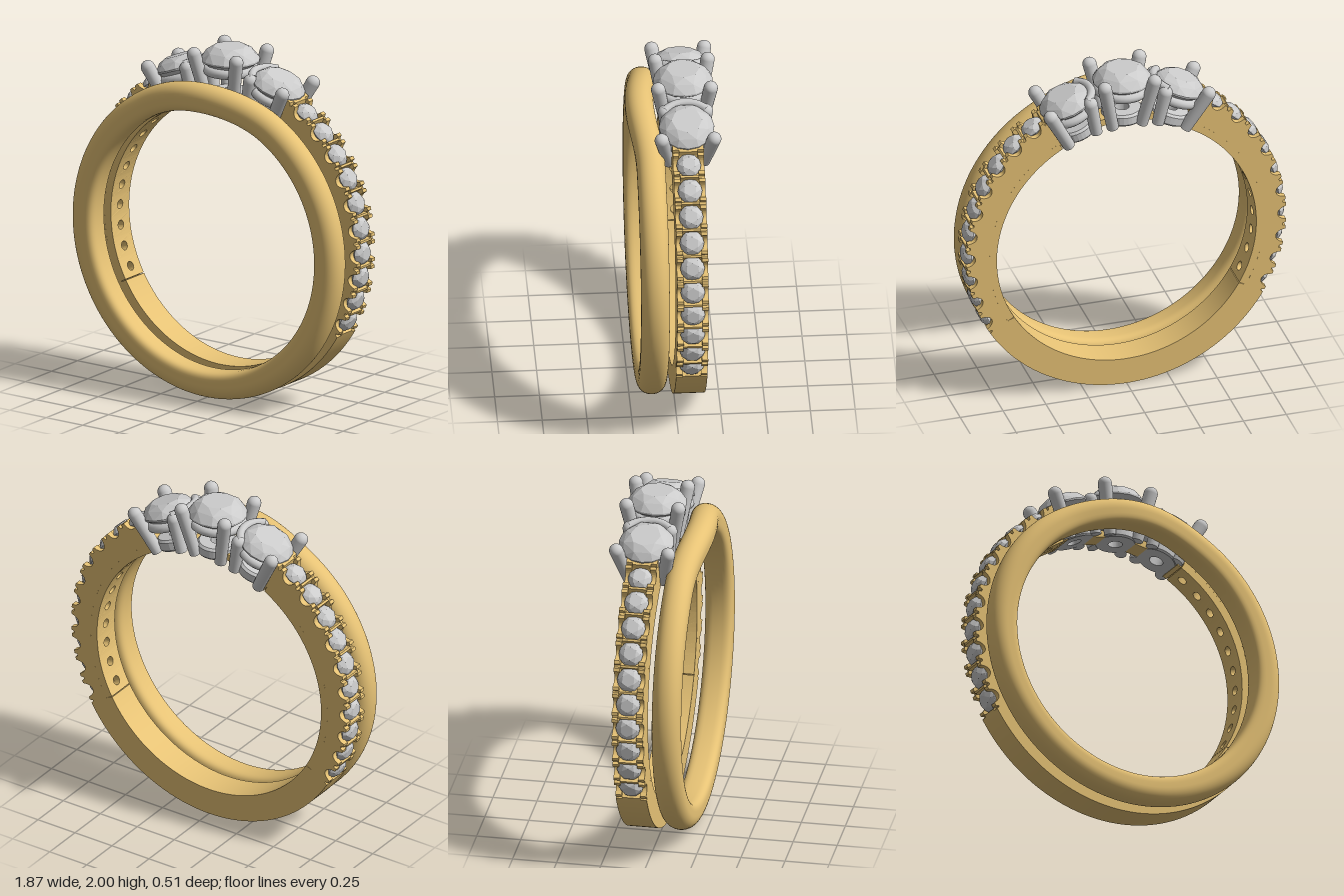
import * as THREE from 'three';
import { ConvexGeometry } from 'three/addons/geometries/ConvexGeometry.js';

const CY = 0.915, ZB = -0.068, RIN = 0.757, SEAT = 0.8, HALF = 0.0875;
const DEG = Math.PI / 180, FIRST = 34, PITCH = 9.03, COUNT = 10;
const START = FIRST - PITCH / 2, END = START + COUNT * PITCH;

const gold = new THREE.MeshStandardMaterial({ color: 0xe6c275 });
const grey = new THREE.MeshStandardMaterial({ color: 0xcccccc });

function add(parent, name, geometry, material) {
  const mesh = new THREE.Mesh(geometry, material);
  mesh.name = name;
  parent.add(mesh);
  return mesh;
}

// Faceted round stone: girdle at y = 0, table at y = crown
function stoneGeometry(r, crown, depth, n = 8) {
  const pts = [];
  const ring = (count, rad, y, shift) => {
    for (let i = 0; i < count; i++) {
      const a = (i + shift) / count * Math.PI * 2;
      pts.push(new THREE.Vector3(rad * Math.cos(a), y, rad * Math.sin(a)));
    }
  };
  ring(n, r * 0.55, crown, 0);
  ring(n, r * 0.82, crown * 0.62, 0.5);
  ring(n * 2, r, 0, 0);
  ring(n * 2, r, -crown * 0.15, 0);
  ring(n, r * 0.5, -depth * 0.6, 0.5);
  pts.push(new THREE.Vector3(0, -depth, 0));
  return new ConvexGeometry(pts);
}

// Smooth band, swept round the finger and bowed forward at the top
function plainBandGeometry() {
  const N = 160, M = 40, pos = [], idx = [];
  for (let i = 0; i < N; i++) {
    const phi = i / N * Math.PI * 2;
    const off = Math.min(phi, Math.PI * 2 - phi) / (33 * DEG);
    const bow = off < 1 ? 0.038 * Math.cos(off * Math.PI / 2) ** 2 : 0;
    for (let j = 0; j < M; j++) {
      const t = j / M * Math.PI * 2, c = Math.cos(t), s = Math.sin(t);
      const e = c < 0 ? 0.55 : 0.95;
      const r = 0.835 + 0.08 * Math.sign(c) * Math.abs(c) ** e;
      const z = 0.137 + bow + 0.08 * Math.sign(s) * Math.abs(s) ** e;
      pos.push(r * Math.sin(phi), CY + r * Math.cos(phi), z);
      const i2 = (i + 1) % N, j2 = (j + 1) % M;
      const a = i * M + j, b = i * M + j2, d = i2 * M + j, f = i2 * M + j2;
      idx.push(a, b, d, b, f, d);
    }
  }
  const g = new THREE.BufferGeometry();
  g.setAttribute('position', new THREE.Float32BufferAttribute(pos, 3));
  g.setIndex(idx);
  g.computeVertexNormals();
  return g;
}

// Outer radius of the stone-set band, thicker toward the top
const outerR = deg => 0.915 + 0.065 * ((1 + Math.cos(deg * DEG)) / 2) ** 2;

// One layer of the stone-set band with a scoop at each stone
function bandLayer(halfWidth, depth, groove, z0, z1) {
  const step = PITCH / 24, outer = [], inner = [];
  const first = START - 6 * step, n = Math.ceil((180 - first) / step);
  const at = (r, deg) => new THREE.Vector2(r * Math.sin(deg * DEG), r * Math.cos(deg * DEG));
  for (let k = 0; k <= 2 * n; k++) {
    const m = k <= n ? k : 2 * n - k;
    const deg = m === n ? 180 : first + m * step;
    const full = k <= n ? deg : 360 - deg;
    let r = outerR(deg);
    const inside = deg > START - 0.01 && deg < END + 0.01;
    if (inside) {
      const cell = (deg - START) / PITCH;
      const d = Math.abs(cell - Math.floor(cell) - 0.5) * PITCH;
      if (d < halfWidth) r -= depth * Math.sqrt(1 - (d / halfWidth) ** 2);
      else if (groove && d > PITCH / 2 - 0.6) r -= groove;
    }
    outer.push(at(r, full));
    inner.push(at(inside ? SEAT : RIN, full));
  }
  const shape = new THREE.Shape([...outer, ...inner.reverse()]);
  const g = new THREE.ExtrudeGeometry(shape, { depth: z1 - z0, bevelEnabled: false });
  return g.translate(0, CY, ZB + z0);
}

// Inner wall under one stone, bent to the ring, with a round drill hole
function innerWall(deg) {
  const half = PITCH / 2 * DEG, pts = [];
  for (let i = 0; i <= 4; i++) pts.push(new THREE.Vector2(half * (i / 2 - 1), -HALF));
  for (let i = 4; i >= 0; i--) pts.push(new THREE.Vector2(half * (i / 2 - 1), HALF));
  pts.forEach(p => { p.x *= RIN; });
  const shape = new THREE.Shape(pts);
  shape.holes.push(new THREE.Path().absarc(0, 0, 0.026, 0, Math.PI * 2, true));
  const g = new THREE.ExtrudeGeometry(shape, { depth: SEAT - RIN, bevelEnabled: false, curveSegments: 10 });
  const p = g.attributes.position;
  for (let i = 0; i < p.count; i++) {
    const r = RIN + p.getZ(i), a = deg * DEG + p.getX(i) / RIN;
    p.setXYZ(i, r * Math.sin(a), CY + r * Math.cos(a), ZB - p.getY(i));
  }
  g.computeVertexNormals();
  return g;
}

// Round-tipped claw between two points
function addProng(parent, from, to) {
  const dir = to.clone().sub(from), g = new THREE.Group();
  g.name = 'prong';
  g.position.copy(from);
  g.quaternion.setFromUnitVectors(new THREE.Vector3(0, 1, 0), dir.clone().normalize());
  const len = dir.length();
  add(g, 'prongShaft', new THREE.CylinderGeometry(0.04, 0.034, len, 20).translate(0, len / 2, 0), grey);
  add(g, 'prongTip', new THREE.SphereGeometry(0.04, 20, 12).translate(0, len, 0), grey);
  parent.add(g);
}

// Claw setting standing on the ring's radius; side is -1, 0 or 1
function makeSetting(side) {
  const g = new THREE.Group();
  g.name = side === 0 ? 'centreSetting' : side > 0 ? 'leftSetting' : 'rightSetting';
  g.position.set(0, CY, ZB);
  g.rotation.z = -side * 20 * DEG;
  const r = side ? 0.155 : 0.167, girdle = side ? 0.968 : 1.008, top = side ? 1.012 : 1.04;

  add(g, 'mainStone', stoneGeometry(r, side ? 0.062 : 0.072, 0.12), grey).position.y = girdle;
  add(g, 'seatRing', new THREE.TorusGeometry(r * 0.8, 0.028, 12, 40).rotateX(Math.PI / 2), grey)
    .position.y = girdle - 0.06;

  // Pierced foot flush with the inside of the ring
  const foot = [[0.04, 0], [0.11, 0], [0.118, 0.01], [0.118, 0.055], [0.105, 0.068], [0.04, 0.068], [0.04, 0]]
    .map(([x, y]) => new THREE.Vector2(x, y + RIN));
  const footMesh = add(g, 'foot', new THREE.LatheGeometry(foot, 32).toNonIndexed(), grey);
  footMesh.geometry.computeVertexNormals();

  for (const sx of [-1, 1]) for (const sz of [-1, 1]) {
    const innerSide = side !== 0 && sx === -side;
    const x = side ? 0.122 : 0.145;
    addProng(g,
      new THREE.Vector3(sx * 0.085, RIN, sz * 0.098),
      new THREE.Vector3(sx * (innerSide ? 0.115 : x), innerSide ? 0.955 : top, sz * (innerSide ? 0.115 : 0.147)));
  }

  // Curved bar holding the edge next to the centre stone
  if (side) {
    const arc = 1.7;
    const bar = new THREE.TorusGeometry(0.158, 0.024, 10, 24, arc).rotateX(Math.PI / 2);
    bar.rotateY(arc / 2 + (side > 0 ? Math.PI : 0));
    add(g, 'sharedBar', bar, grey).position.y = girdle + 0.012;
  }
  return g;
}

export function createModel() {
  const model = new THREE.Group();
  model.name = 'ringSet';
  add(model, 'plainBand', plainBandGeometry(), gold);

  // Stone-set band: scalloped edges either side of a wider central channel
  const band = new THREE.Group();
  band.name = 'stoneSetBand';
  model.add(band);
  add(band, 'bandEdge', bandLayer(2.5, 0.05, 0.018, -HALF, -0.052), gold);
  add(band, 'bandChannel', bandLayer(4.1, 0.07, 0, -0.052, 0.052), gold);
  add(band, 'bandEdge', bandLayer(2.5, 0.05, 0.018, 0.052, HALF), gold);

  const small = stoneGeometry(0.069, 0.032, 0.07, 6);
  for (const side of [-1, 1]) {
    for (let i = 0; i < COUNT; i++) {
      const deg = FIRST + i * PITCH, a = side * deg * DEG, r = outerR(deg) - 0.028;
      add(band, 'innerWall', innerWall(side * deg), gold);
      const stone = add(band, 'smallStone', small, grey);
      stone.position.set(r * Math.sin(a), CY + r * Math.cos(a), ZB);
      stone.rotation.z = -a;
    }
    // Small bridge joining the feet of neighbouring settings
    const b = side * 10 * DEG;
    const bridge = add(band, 'bridge', new THREE.BoxGeometry(0.08, 0.04, 0.12), gold);
    bridge.position.set(0.782 * Math.sin(b), CY + 0.782 * Math.cos(b), ZB);
    bridge.rotation.z = -b;
  }

  for (const side of [-1, 0, 1]) model.add(makeSetting(side));
  return model;
}
